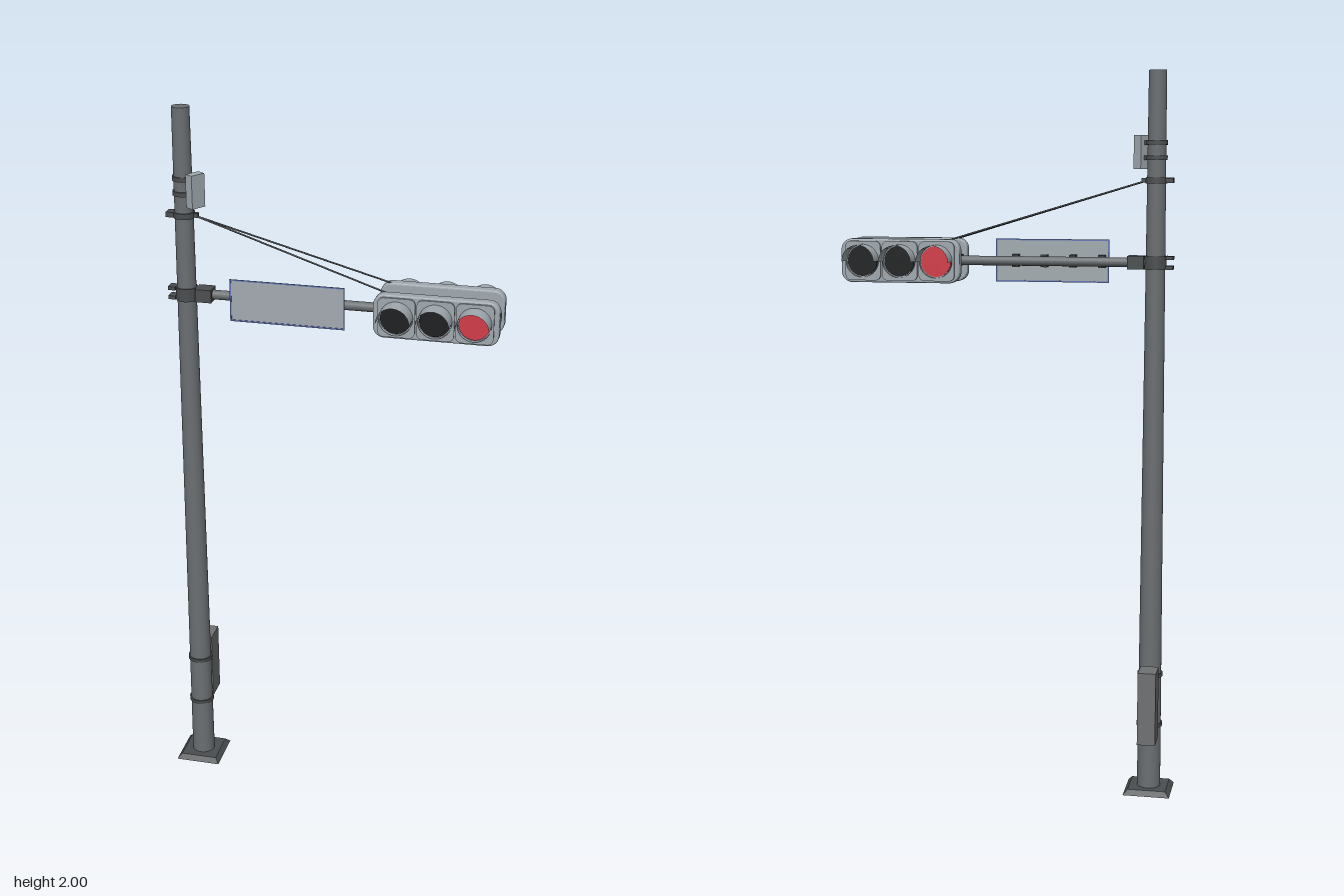
import * as THREE from 'three';

const POLE_X = -0.4, ARM_Y = 1.49, HEAD_X = 0.297;

const mat = (name, color, side = THREE.FrontSide) => {
  const m = new THREE.MeshStandardMaterial({ color, side });
  m.name = name;
  return m;
};

export function createModel() {
  const model = new THREE.Group();
  model.name = 'trafficSignalPole';

  const steel = mat('pole steel', 0x6b6f72);
  const dark = mat('dark bracket', 0x4b4e50);
  const cabinetGrey = mat('cabinet grey', 0x707174);
  const light = mat('housing grey', 0xa0a9af);
  const hoodGrey = mat('hood grey', 0xa0a9af, THREE.DoubleSide);
  const panel = mat('sign panel', 0xa3abb0, THREE.DoubleSide);
  const blue = mat('sign border blue', 0x6478b8);
  const black = mat('unlit lens', 0x1d2021);
  const red = mat('red lens', 0xd23c48);

  const add = (parent, name, geo, material, x = 0, y = 0, z = 0) => {
    const mesh = new THREE.Mesh(geo, material);
    mesh.name = name;
    mesh.position.set(x, y, z);
    parent.add(mesh);
    return mesh;
  };
  const box = (w, h, d) => new THREE.BoxGeometry(w, h, d);
  const cyl = (rt, rb, h, n = 24) => new THREE.CylinderGeometry(rt, rb, h, n);
  const rod = (name, a, b, r, material) => {
    const path = new THREE.LineCurve3(new THREE.Vector3(...a), new THREE.Vector3(...b));
    add(model, name, new THREE.TubeGeometry(path, 1, r, 8), material);
  };

  // Base plate with sloped edges, and tapered pole
  const base = cyl(0.075, 0.092, 0.014, 4).toNonIndexed();
  base.rotateY(Math.PI / 4);
  base.computeVertexNormals();
  add(model, 'basePlate', base, dark, POLE_X, 0.007, 0);
  add(model, 'pole', cyl(0.024, 0.033, 1.99, 32), steel, POLE_X, 1.005, 0);

  // Straps round the pole
  const poleRadius = (y) => 0.033 - 0.009 * (y - 0.01) / 1.99;
  for (const [y, h] of [[0.195, 0.01], [0.34, 0.01], [1.71, 0.016], [1.77, 0.012], [1.81, 0.012], [1.49, 0.036]]) {
    const r = poleRadius(y) + 0.004;
    add(model, 'poleStrap', cyl(r, r, h), dark, POLE_X, y, 0);
  }

  // Control cabinet behind the pole
  add(model, 'controlCabinet', box(0.05, 0.205, 0.07), cabinetGrey, POLE_X - 0.005, 0.272, -0.085);
  for (const y of [0.195, 0.34]) {
    add(model, 'cabinetBracket', box(0.03, 0.012, 0.03), dark, POLE_X, y, -0.04);
  }

  // Arm and its clamp
  const arm = cyl(0.013, 0.013, 0.85, 20);
  arm.rotateZ(Math.PI / 2);
  add(model, 'arm', arm, steel, 0.035, ARM_Y, 0);
  add(model, 'armClamp', box(0.045, 0.036, 0.045), dark, POLE_X + 0.052, ARM_Y, 0);
  for (const y of [ARM_Y - 0.013, ARM_Y + 0.013]) {
    add(model, 'clampBolt', box(0.02, 0.01, 0.03), dark, POLE_X - 0.039, y, 0);
  }

  // Stay wires and their clamp
  add(model, 'stayClamp', box(0.022, 0.014, 0.03), dark, POLE_X - 0.036, 1.71, 0);
  add(model, 'stayEye', box(0.02, 0.012, 0.012), dark, POLE_X + 0.03, 1.71, 0);
  for (const s of [-1, 1]) {
    rod('stayWire', [POLE_X + 0.03, 1.708, 0], [0.17, 1.545, s * 0.04], 0.0025, dark);
  }

  // Street sign: thin panel, blue border, four brackets
  const sx = -0.111, sw = 0.316, sh = 0.118;
  add(model, 'signPanel', new THREE.PlaneGeometry(sw, sh), panel, sx, ARM_Y, 0.033);
  for (const s of [-1, 1]) {
    add(model, 'signBorder', box(sw, 0.004, 0.002), blue, sx, ARM_Y + s * (sh / 2 - 0.002), 0.0335);
    add(model, 'signBorder', box(0.004, sh, 0.002), blue, sx + s * (sw / 2 - 0.002), ARM_Y, 0.0335);
  }
  for (let i = 0; i < 4; i++) {
    add(model, 'signBracket', box(0.018, 0.034, 0.022), dark, -0.251 + i * 0.08, ARM_Y, 0.021);
  }

  // Small box near the top, turned to one side
  const receiver = new THREE.Group();
  receiver.name = 'receiver';
  receiver.position.set(POLE_X, 1.785, 0);
  receiver.rotation.y = 1.0;
  add(receiver, 'receiverBox', box(0.044, 0.09, 0.025), light, 0, 0, 0.05);
  for (const y of [-0.015, 0.025]) {
    add(receiver, 'receiverBracket', box(0.016, 0.012, 0.018), dark, 0, y, 0.031);
  }
  model.add(receiver);

  // Signal heads, one facing each way
  const roundedRect = (w, h, r) => {
    const s = new THREE.Shape();
    const x = w / 2 - r, y = h / 2 - r;
    s.absarc(x, y, r, 0, Math.PI / 2);
    s.absarc(-x, y, r, Math.PI / 2, Math.PI);
    s.absarc(-x, -y, r, Math.PI, Math.PI * 1.5);
    s.absarc(x, -y, r, Math.PI * 1.5, Math.PI * 2);
    s.closePath();
    return s;
  };
  const housing = new THREE.ExtrudeGeometry(roundedRect(0.325, 0.11, 0.025), {
    depth: 0.02, bevelSize: 0.005, bevelThickness: 0.005, bevelSegments: 3, curveSegments: 8,
  });
  const door = new THREE.ExtrudeGeometry(roundedRect(0.1, 0.108, 0.016), {
    depth: 0.006, bevelEnabled: false, curveSegments: 6,
  });
  const lens = cyl(0.042, 0.042, 0.004, 32).rotateX(Math.PI / 2);
  const openTube = (len, start, sweep) =>
    new THREE.CylinderGeometry(0.045, 0.045, len, 28, 1, true, start, sweep).rotateX(Math.PI / 2);
  const rim = openTube(0.014, 0, Math.PI * 2);
  const hood = openTube(0.058, Math.PI / 2, Math.PI);

  const signalHead = (name, turn) => {
    const head = new THREE.Group();
    head.name = name;
    head.position.set(HEAD_X, ARM_Y, 0);
    head.rotation.y = turn;
    add(head, 'housing', housing, light, 0, 0, 0.038);
    [-0.104, 0, 0.104].forEach((x, i) => {
      add(head, 'lensDoor', door, light, x, 0, 0.0625);
      add(head, 'lens', lens, i === 2 ? red : black, x, 0, 0.07);
      add(head, 'lensRim', rim, hoodGrey, x, 0, 0.073);
      add(head, 'hood', hood, hoodGrey, x, 0, 0.095);
    });
    // Thin plates tying the head to the arm
    for (const s of [-1, 1]) {
      add(head, 'headBracket', box(0.004, 0.03, 0.03), dark, s * 0.155, 0, 0.025);
    }
    model.add(head);
  };
  signalHead('frontSignal', 0);
  signalHead('rearSignal', Math.PI);

  return model;
}
